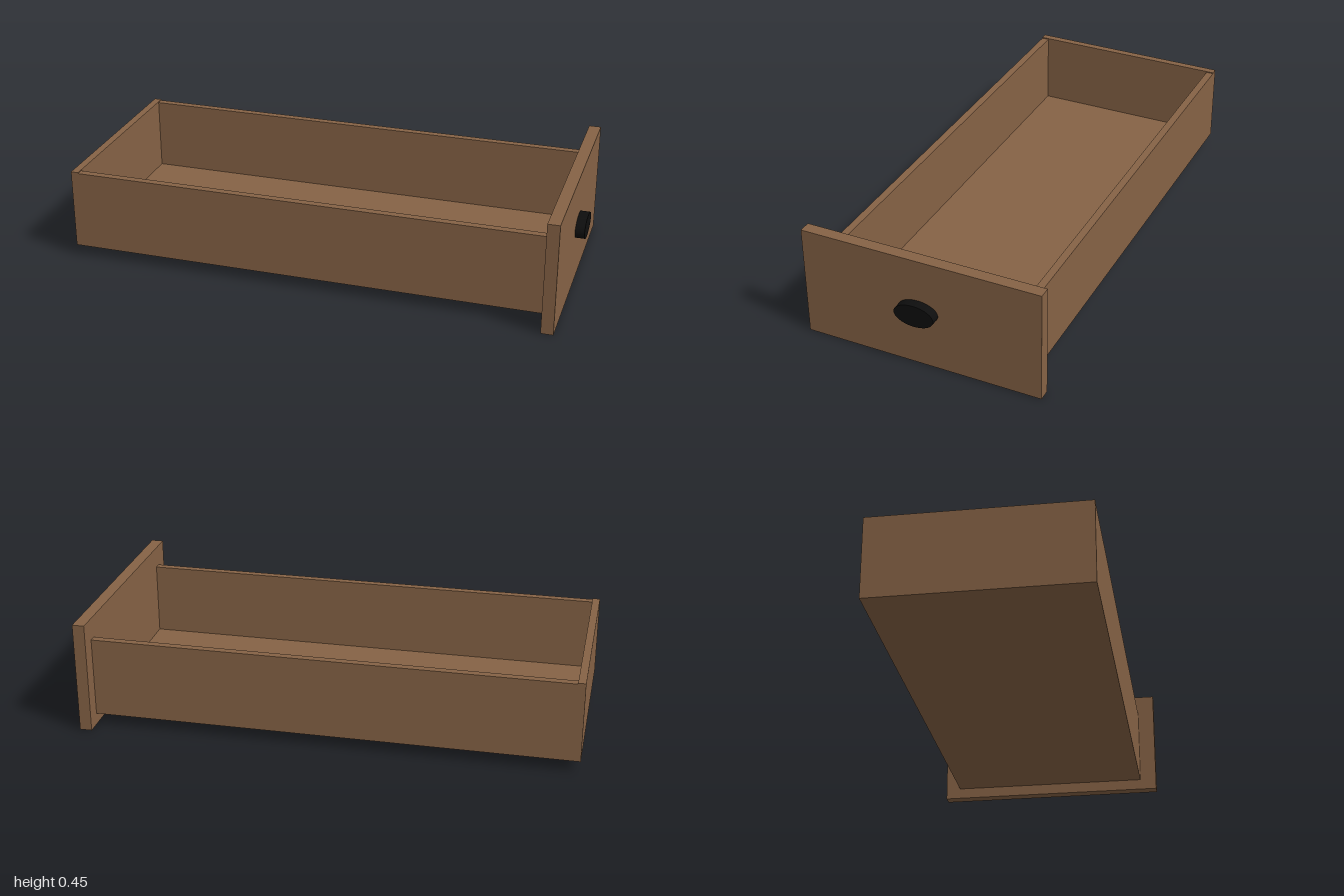
import * as THREE from 'three';

export function createModel() {
  const group = new THREE.Group();
  const wood = new THREE.MeshStandardMaterial({ color: 0x856245 });
  wood.name = 'brown wood';
  const black = new THREE.MeshStandardMaterial({ color: 0x0e0e0e });
  black.name = 'black knob';

  // Box given by its minimum and maximum corners
  function board(name, [x0, y0, z0], [x1, y1, z1]) {
    const mesh = new THREE.Mesh(new THREE.BoxGeometry(x1 - x0, y1 - y0, z1 - z0), wood);
    mesh.position.set((x0 + x1) / 2, (y0 + y1) / 2, (z0 + z1) / 2);
    mesh.name = name;
    group.add(mesh);
  }

  const panelX = 0.915, frontX = 0.963;
  const bottom = 0.045, top = 0.365, floorTop = 0.07;
  const zBack = -0.418, zFront = 0.41, wall = 0.03;

  // Tray: floor, two long walls and the slightly taller end wall
  board('floor', [-0.97, bottom, zBack + wall], [panelX, floorTop, zFront - wall]);
  board('rightWall', [-0.97, bottom, zBack], [panelX, top, zBack + wall]);
  board('leftWall', [-0.97, bottom, zFront - wall], [panelX, top, zFront]);
  board('endWall', [-1, bottom, zBack], [-0.97, top + 0.004, zFront]);

  // Overhanging drawer face
  board('facePanel', [panelX, 0, -0.48], [frontX, 0.45, 0.48]);

  // Flat oval knob
  const knobGeometry = new THREE.CylinderGeometry(1, 1, 1 - frontX, 48);
  knobGeometry.rotateZ(-Math.PI / 2);
  knobGeometry.scale(1, 0.045, 0.08);
  const knob = new THREE.Mesh(knobGeometry, black);
  knob.position.set((frontX + 1) / 2, 0.235, 0.007);
  knob.name = 'knob';
  group.add(knob);

  return group;
}
